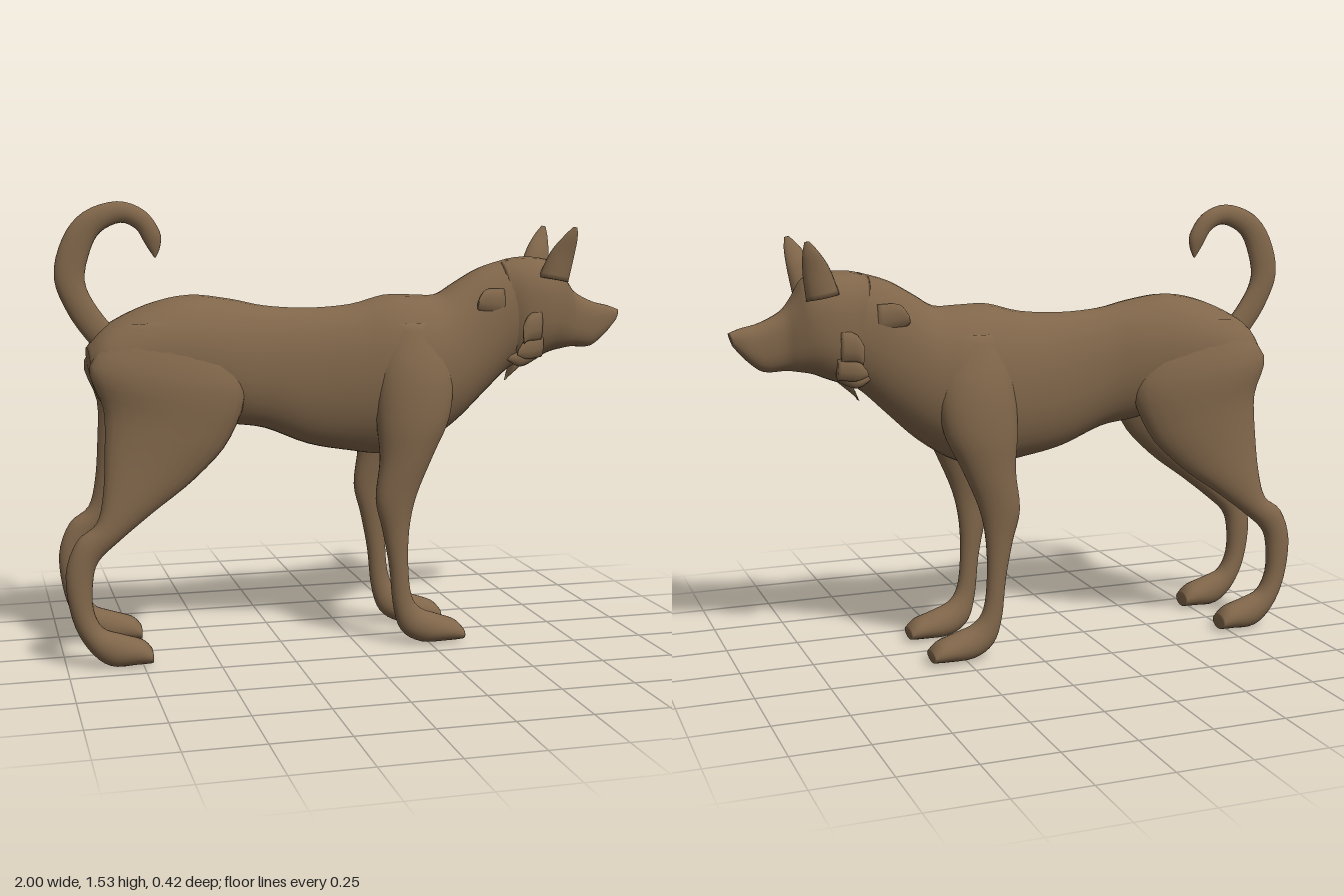
import * as THREE from 'three';

const coat = new THREE.MeshStandardMaterial({ color: 0x80664a });
coat.name = 'brownCoat';

// Smooth loft. Each section is [ax, ay, bx, by, z, w]: two opposite outline
// points in the side profile, the sideways centre and the half width.
function loft(name, sections, side = 1, power = 1, sides = 24, steps = 4) {
  const rows = [];
  const last = sections.length - 1;
  const at = (i, k) => sections[Math.min(last, Math.max(0, i))][k];
  for (let i = 0; i <= last; i++) {
    for (let s = 0; s < (i < last ? steps : 1); s++) {
      const t = s / steps;
      rows.push([0, 1, 2, 3, 4, 5].map((k) => {
        const p0 = at(i - 1, k), p1 = at(i, k), p2 = at(i + 1, k), p3 = at(i + 2, k);
        return p1 + 0.5 * t * (p2 - p0 + t * (2 * p0 - 5 * p1 + 4 * p2 - p3 + t * (3 * (p1 - p2) + p3 - p0)));
      }));
    }
  }
  const pos = [], idx = [];
  const bend = (v) => Math.sign(v) * Math.pow(Math.abs(v), power);
  for (const [ax, ay, bx, by, z, w] of rows) {
    for (let j = 0; j < sides; j++) {
      const a = (j / sides) * Math.PI * 2;
      const c = bend(Math.cos(a)) / 2, n = bend(Math.sin(a));
      pos.push((ax + bx) / 2 + (ax - bx) * c, (ay + by) / 2 + (ay - by) * c, z * side + w * n);
    }
  }
  for (let i = 0; i < rows.length - 1; i++) {
    for (let j = 0; j < sides; j++) {
      const a = i * sides + j, b = i * sides + ((j + 1) % sides);
      idx.push(a, b, a + sides, b, b + sides, a + sides);
    }
  }
  // end caps
  for (const [r, flip] of [[0, true], [rows.length - 1, false]]) {
    const [ax, ay, bx, by, z] = rows[r];
    const centre = pos.length / 3;
    pos.push((ax + bx) / 2, (ay + by) / 2, z * side);
    for (let j = 0; j < sides; j++) {
      const a = r * sides + j, b = r * sides + ((j + 1) % sides);
      if (flip) idx.push(centre, b, a); else idx.push(centre, a, b);
    }
  }
  const g = new THREE.BufferGeometry();
  g.setAttribute('position', new THREE.Float32BufferAttribute(pos, 3));
  g.setIndex(idx);
  g.computeVertexNormals();
  const mesh = new THREE.Mesh(g, coat);
  mesh.name = name;
  return mesh;
}

const torso = [
  [-0.9, 1.05, -0.89, 0.96, 0, 0.08],
  [-0.84, 1.12, -0.85, 0.86, 0, 0.14],
  [-0.7, 1.19, -0.72, 0.83, 0, 0.165],
  [-0.56, 1.22, -0.56, 0.81, 0, 0.165],
  [-0.42, 1.205, -0.42, 0.78, 0, 0.14],
  [-0.3, 1.18, -0.3, 0.76, 0, 0.112],
  [-0.15, 1.17, -0.15, 0.7, 0, 0.115],
  [0, 1.18, 0, 0.67, 0, 0.14],
  [0.12, 1.21, 0.12, 0.655, 0, 0.165],
  [0.22, 1.21, 0.24, 0.675, 0, 0.175],
  [0.31, 1.21, 0.37, 0.755, 0, 0.15],
  [0.38, 1.25, 0.48, 0.855, 0, 0.125],
  [0.47, 1.3, 0.56, 0.93, 0, 0.112],
  [0.57, 1.33, 0.62, 0.97, 0, 0.11],
];

const head = [
  [0.54, 1.32, 0.58, 0.96, 0, 0.1],
  [0.6, 1.335, 0.62, 0.96, 0, 0.122],
  [0.68, 1.335, 0.68, 0.98, 0, 0.128],
  [0.75, 1.315, 0.73, 1.0, 0, 0.115],
  [0.79, 1.255, 0.78, 1.01, 0, 0.088],
  [0.83, 1.21, 0.82, 1.015, 0, 0.06],
  [0.9, 1.175, 0.89, 1.015, 0, 0.043],
  [0.96, 1.16, 0.945, 1.055, 0, 0.034],
  [1.0, 1.145, 0.985, 1.1, 0, 0.02],
];

const tail = [
  [-0.87, 1.04, -0.78, 1.08, 0, 0.028],
  [-0.95, 1.15, -0.86, 1.18, 0, 0.027],
  [-1.0, 1.28, -0.9, 1.27, 0, 0.026],
  [-0.97, 1.41, -0.88, 1.37, 0, 0.025],
  [-0.9, 1.495, -0.845, 1.43, 0, 0.025],
  [-0.79, 1.53, -0.78, 1.46, 0, 0.025],
  [-0.7, 1.5, -0.73, 1.44, 0, 0.024],
  [-0.65, 1.43, -0.705, 1.4, 0, 0.02],
  [-0.65, 1.38, -0.69, 1.375, 0, 0.013],
  [-0.665, 1.345, -0.67, 1.345, 0, 0.004],
];

const hindLeg = [
  [-0.52, 1.15, -0.78, 1.13, 0.08, 0.05],
  [-0.39, 0.93, -0.9, 1.0, 0.1, 0.088],
  [-0.44, 0.75, -0.86, 0.86, 0.112, 0.074],
  [-0.56, 0.62, -0.86, 0.72, 0.125, 0.058],
  [-0.71, 0.51, -0.87, 0.58, 0.14, 0.045],
  [-0.82, 0.425, -0.895, 0.485, 0.148, 0.037],
  [-0.89, 0.36, -0.96, 0.43, 0.15, 0.034],
  [-0.91, 0.29, -0.998, 0.32, 0.15, 0.033],
  [-0.91, 0.2, -0.98, 0.17, 0.15, 0.034],
  [-0.88, 0.135, -0.93, 0.065, 0.15, 0.04],
  [-0.82, 0.11, -0.86, 0.005, 0.15, 0.046],
  [-0.75, 0.085, -0.77, 0.003, 0.15, 0.05],
  [-0.72, 0.055, -0.72, 0.005, 0.15, 0.042],
];

const frontLeg = [
  [0.27, 1.12, 0.12, 1.12, 0.1, 0.04],
  [0.33, 0.95, 0.07, 0.97, 0.12, 0.075],
  [0.32, 0.8, 0.06, 0.8, 0.135, 0.077],
  [0.26, 0.67, 0.07, 0.66, 0.145, 0.058],
  [0.2, 0.53, 0.055, 0.52, 0.147, 0.042],
  [0.175, 0.41, 0.08, 0.41, 0.144, 0.034],
  [0.172, 0.28, 0.105, 0.28, 0.144, 0.028],
  [0.185, 0.175, 0.12, 0.14, 0.143, 0.028],
  [0.22, 0.125, 0.15, 0.05, 0.138, 0.038],
  [0.28, 0.1, 0.22, 0.005, 0.135, 0.05],
  [0.345, 0.075, 0.32, 0.003, 0.135, 0.054],
  [0.375, 0.045, 0.37, 0.006, 0.135, 0.044],
];

const ear = [
  [0.655, 1.27, 0.765, 1.25, 0.1, 0.036],
  [0.69, 1.355, 0.778, 1.335, 0.116, 0.026],
  [0.73, 1.41, 0.782, 1.4, 0.137, 0.014],
  [0.762, 1.443, 0.777, 1.44, 0.147, 0.005],
];

// Fur tufts, running back from root to tip
const cheekTufts = [
  [[0.59, 1.04, 0.585, 1.1, 0.138, 0.004], [0.61, 1.05, 0.61, 1.14, 0.13, 0.014], [0.66, 1.05, 0.66, 1.16, 0.115, 0.02]],
  [[0.57, 1.0, 0.575, 1.02, 0.125, 0.003], [0.61, 0.985, 0.61, 1.06, 0.115, 0.014], [0.67, 0.99, 0.67, 1.08, 0.1, 0.02]],
  [[0.55, 0.98, 0.555, 0.995, 0.075, 0.004], [0.6, 0.955, 0.6, 1.01, 0.08, 0.02], [0.66, 0.98, 0.66, 1.04, 0.075, 0.03]],
];
const neckTuft = [
  [0.425, 1.17, 0.43, 1.195, 0.118, 0.006],
  [0.44, 1.155, 0.46, 1.23, 0.108, 0.015],
  [0.53, 1.14, 0.53, 1.23, 0.095, 0.014],
];
const chinTuft = [
  [0.57, 0.9, 0.58, 0.905, 0, 0.006],
  [0.59, 0.92, 0.605, 0.97, 0, 0.035],
  [0.66, 0.98, 0.66, 1.05, 0, 0.05],
];

// Tuft outlines list the lower point first, so swap them to face outward
const upright = (rows) => rows.map(([ax, ay, bx, by, z, w]) => [bx, by, ax, ay, z, w]);

export function createModel() {
  const dog = new THREE.Group();
  dog.name = 'dog';
  dog.add(
    loft('torso', torso, 1, 0.95, 32),
    loft('head', head, 1, 0.82, 28),
    loft('tail', tail, 1, 1, 14),
    loft('chinTuft', upright(chinTuft), 1, 1, 10),
  );
  for (const [label, s] of [['left', -1], ['right', 1]]) {
    dog.add(
      loft(label + 'HindLeg', hindLeg, s),
      loft(label + 'FrontLeg', frontLeg, s),
      loft(label + 'Ear', ear, s, 1, 14),
      loft(label + 'NeckTuft', upright(neckTuft), s, 1, 10),
    );
    cheekTufts.forEach((t, i) => dog.add(loft(label + 'CheekTuft' + (i + 1), upright(t), s, 1, 10)));
  }
  return dog;
}
